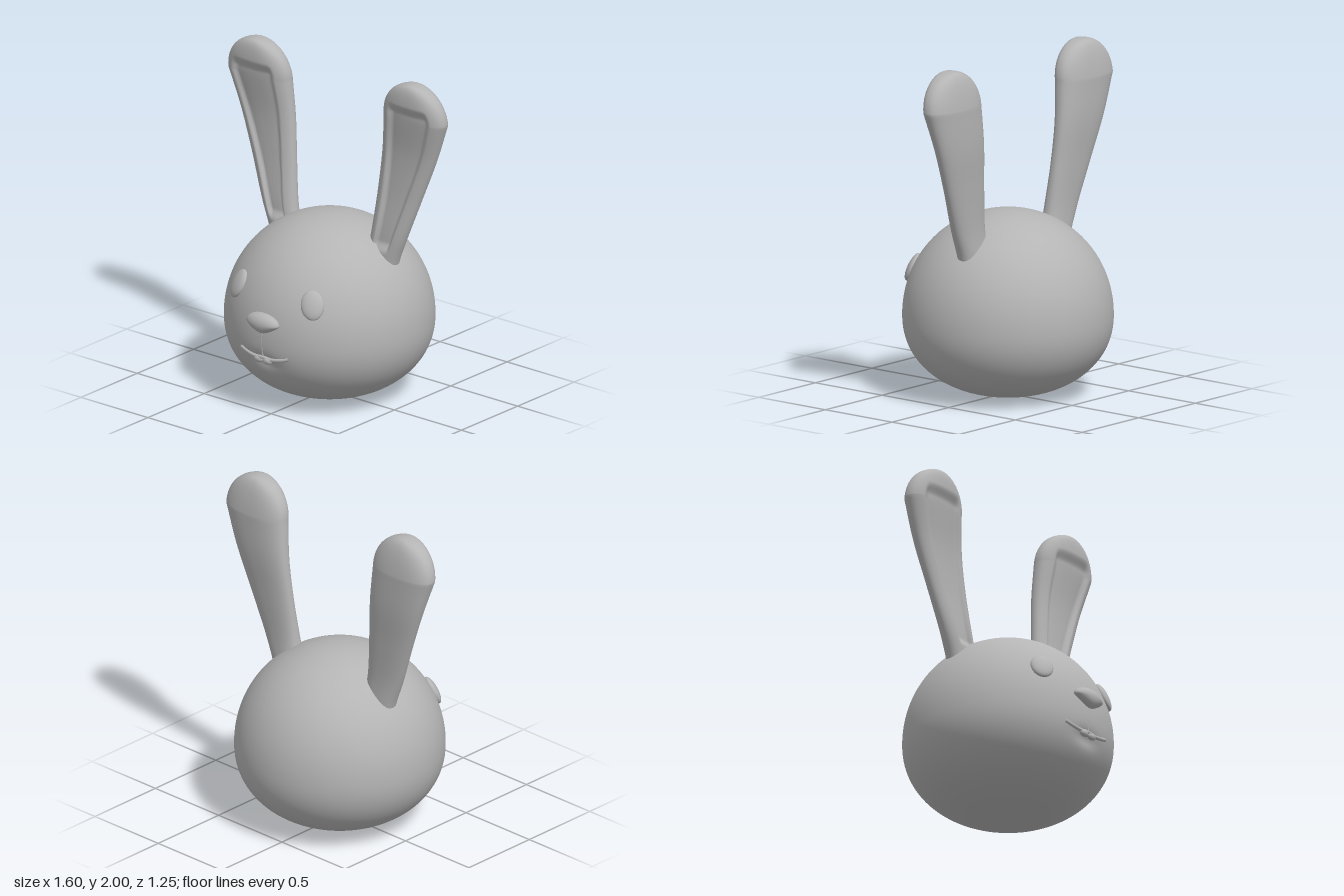
import * as THREE from 'three';
import { mergeVertices } from 'three/addons/utils/BufferGeometryUtils.js';
import { ParametricGeometry } from 'three/addons/geometries/ParametricGeometry.js';

const HEAD_Y = 0.47, HEAD_Z = -0.02, HEAD_R = 0.605;

// Radius of the round head at height y: a dome above, a flatter belly below
function headRadius(y) {
  const up = y > HEAD_Y;
  const d = Math.min(1, Math.abs(y - HEAD_Y) / (up ? 0.615 : 0.465));
  const e = up ? 2.03 : 2.15;
  return HEAD_R * Math.pow(1 - Math.pow(d, e), 1 / e);
}

// Front surface of the head
const faceZ = (x, y) => HEAD_Z + Math.sqrt(Math.max(0, headRadius(y) ** 2 - x * x));

// Weld seams and recompute smooth normals
function smooth(geometry) {
  geometry.deleteAttribute('normal');
  geometry.deleteAttribute('uv');
  const welded = mergeVertices(geometry, 1e-5);
  welded.computeVertexNormals();
  return welded;
}

function headGeometry() {
  const profile = [];
  for (let i = 0; i <= 72; i++) {
    const y = HEAD_Y - Math.cos((i / 72) * Math.PI) * (i < 36 ? 0.465 : 0.615);
    profile.push(new THREE.Vector2(i % 72 ? headRadius(y) : 0, y));
  }
  const g = new THREE.LatheGeometry(profile, 128);
  g.translate(0, 0, HEAD_Z);
  // Shallow hollow under the mouth
  const p = g.attributes.position;
  for (let i = 0; i < p.count; i++) {
    if (p.getZ(i) < 0.3) continue;
    const dx = p.getX(i) / 0.09, dy = (p.getY(i) - 0.34) / 0.04;
    p.setZ(i, p.getZ(i) - 0.02 * Math.exp(-dx * dx - dy * dy));
  }
  return smooth(g);
}

// Ear spine and half sizes, sampled at the same heights
const v3 = (a) => new THREE.Vector3(...a);
const earSpine = new THREE.CatmullRomCurve3([
  [0.345, 0.8, -0.065], [0.367, 0.9, -0.065], [0.408, 1.04, -0.068],
  [0.471, 1.3, -0.09], [0.529, 1.55, -0.105], [0.58, 1.78, -0.096]].map(v3));
const earSize = new THREE.CatmullRomCurve3([
  [0.1, 0.065, 0], [0.108, 0.065, 0], [0.122, 0.062, 0],
  [0.156, 0.062, 0], [0.191, 0.074, 0], [0.221, 0.092, 0]].map(v3));

function earGeometry(side) {
  const c = new THREE.Vector3(), s = new THREE.Vector3();
  const step = THREE.MathUtils.smoothstep;
  const g = new ParametricGeometry((u, v, target) => {
    const t = Math.min(1, v / 0.6);
    earSpine.getPoint(t, c);
    earSize.getPoint(t, s);
    if (v > 0.6) { // rounded tip
      const a = ((v - 0.6) / 0.4) * Math.PI / 2;
      const shrink = Math.max(0, Math.cos(a));
      c.y += 0.22 * Math.sin(a);
      c.z += 0.022 * Math.sin(a);
      s.x *= shrink;
      s.y *= Math.sqrt(shrink);
    }
    const ang = u * Math.PI * 2, co = Math.cos(ang), si = -Math.sin(ang);
    const px = Math.sign(co) * Math.pow(Math.abs(co), 0.85);
    let z = c.z + s.y * Math.sign(si) * Math.pow(Math.abs(si), 0.85);
    if (si > 0) { // sunken inner panel
      const rim = 0.5 + 0.17 * step(c.y, 1, 1.7);
      const across = 1 - step(Math.abs(px), rim - 0.12, rim + 0.04);
      const along = step(c.y, 0.94, 1.0) * (1 - step(c.y, 1.81, 1.88));
      z -= 0.026 * across * along;
    }
    target.set(side * c.x + s.x * px, c.y, z);
  }, 80, 110);
  return smooth(g);
}

// Triangular nose: a flattened ball that narrows downward
function noseGeometry() {
  const g = new THREE.SphereGeometry(1, 48, 32);
  const p = g.attributes.position;
  for (let i = 0; i < p.count; i++) {
    const y = p.getY(i);
    p.setX(i, p.getX(i) * (1 - 0.5 * Math.max(0, -y)));
  }
  g.scale(0.117, 0.06, 0.055);
  return smooth(g);
}

// Tube that follows the face through the given [x, y] points
function faceTube(points, radius, lift) {
  const path = new THREE.CatmullRomCurve3(
    points.map(([x, y]) => new THREE.Vector3(x, y, faceZ(x, y) + lift)));
  return new THREE.TubeGeometry(path, 40, radius, 10);
}

export function createModel() {
  const model = new THREE.Group();
  model.name = 'rabbitHead';
  const grey = new THREE.MeshStandardMaterial({ color: 0xb4b4b4 });
  grey.name = 'grey';

  function add(name, geometry, x = 0, y = 0, z = 0) {
    const mesh = new THREE.Mesh(geometry, grey);
    mesh.name = name;
    mesh.position.set(x, y, z);
    model.add(mesh);
    return mesh;
  }

  add('head', headGeometry());
  add('nose', noseGeometry(), 0, 0.583, 0.572);
  add('noseLine', faceTube([[0, 0.54], [0, 0.46], [0, 0.38]], 0.005, -0.002));
  add('mouth', faceTube([[-0.175, 0.393], [-0.12, 0.378], [-0.06, 0.369], [0, 0.373],
    [0.06, 0.369], [0.12, 0.378], [0.175, 0.393]], 0.011, -0.001));

  for (const side of [1, -1]) {
    const label = side > 0 ? 'left' : 'right';
    add(label + 'Ear', earGeometry(side));

    // Eye: oval bulge turned to the head surface, top leaning inward
    const eyeGeo = new THREE.SphereGeometry(1, 40, 28);
    eyeGeo.scale(0.068, 0.088, 0.03);
    const x = side * 0.275, y = 0.725, z = faceZ(x, y);
    const eye = add(label + 'Eye', eyeGeo, x, y, z);
    eye.lookAt(x * 2, y * 2 - HEAD_Y, z * 2 - HEAD_Z);
    eye.rotateZ(side * 0.15);

    // Front tooth
    const tooth = new THREE.SphereGeometry(1, 24, 16);
    tooth.scale(0.034, 0.021, 0.018);
    add(label + 'Tooth', tooth, side * 0.032, 0.358, 0.572);
  }
  return model;
}
